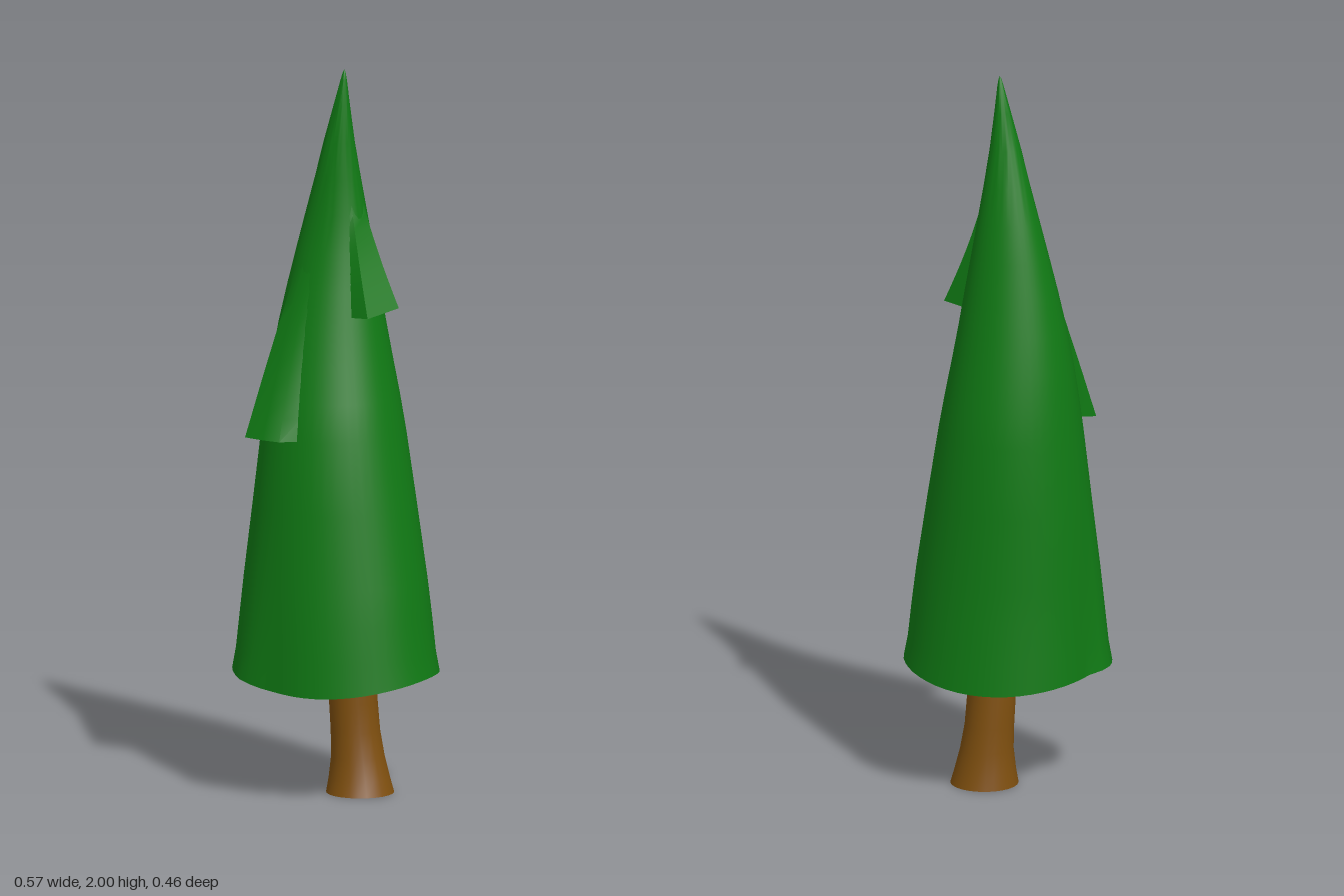
import * as THREE from 'three';
import { toCreasedNormals } from 'three/addons/utils/BufferGeometryUtils.js';

const leafGreen = new THREE.MeshStandardMaterial({ color: 0x107a14, side: THREE.DoubleSide });
const barkBrown = new THREE.MeshStandardMaterial({ color: 0x80500f, side: THREE.DoubleSide });

// Outline of the foliage: y, xMin, xMax, zMin, zMax
const FOLIAGE = [
  [0.305, -0.25, 0.285, -0.23, 0.23],
  [0.4, -0.247, 0.274, -0.225, 0.225],
  [0.5, -0.244, 0.263, -0.219, 0.218],
  [0.6, -0.241, 0.25, -0.215, 0.21],
  [0.8, -0.232, 0.218, -0.211, 0.19],
  [1.0, -0.21, 0.185, -0.205, 0.172],
  [1.1, -0.199, 0.166, -0.194, 0.149],
  [1.2, -0.185, 0.146, -0.177, 0.125],
  [1.3, -0.167, 0.127, -0.159, 0.101],
  [1.4, -0.145, 0.11, -0.139, 0.077],
  [1.5, -0.121, 0.092, -0.12, 0.053],
  [1.6, -0.095, 0.075, -0.1, 0.035],
  [1.7, -0.067, 0.059, -0.078, 0.025],
  [1.8, -0.04, 0.045, -0.055, 0.018],
  [1.9, -0.011, 0.034, -0.034, 0.008],
  [1.97, 0.009, 0.027, -0.018, -0.002],
  [1.99, 0.015, 0.024, -0.013, -0.006],
  [2.0, 0.02, 0.02, -0.01, -0.01],
];

// Trunk outline, same layout
const TRUNK = [
  [0, -0.035, 0.15, -0.125, 0.06],
  [0.04, -0.029, 0.138, -0.118, 0.048],
  [0.1, -0.023, 0.122, -0.11, 0.036],
  [0.17, -0.025, 0.109, -0.107, 0.031],
  [0.25, -0.029, 0.103, -0.102, 0.031],
  [0.35, -0.03, 0.102, -0.1, 0.033],
  [0.5, -0.03, 0.09, -0.09, 0.035],
];

const lerp = THREE.MathUtils.lerp;

// Point on an outline at height y and angle in degrees (0 = +x, 90 = +z)
function surfacePoint(rows, y, degrees, scale = 1) {
  let i = 0;
  while (i < rows.length - 2 && rows[i + 1][0] < y) i++;
  const a = rows[i], b = rows[i + 1];
  const t = (y - a[0]) / (b[0] - a[0]);
  const [x0, x1, z0, z1] = [1, 2, 3, 4].map((k) => lerp(a[k], b[k], t));
  const r = THREE.MathUtils.degToRad(degrees);
  return new THREE.Vector3(
    (x0 + x1) / 2 + ((x1 - x0) / 2) * scale * Math.cos(r), y,
    (z0 + z1) / 2 + ((z1 - z0) / 2) * scale * Math.sin(r));
}

// Skin rings of equal length, bottom to top
function loft(rings, closed, capBottom) {
  const n = rings[0].length;
  const points = rings.flat();
  const index = [];
  for (let j = 0; j < rings.length - 1; j++) {
    for (let i = 0; i < (closed ? n : n - 1); i++) {
      const a = j * n + i, b = j * n + ((i + 1) % n), c = a + n, d = b + n;
      index.push(a, c, b, b, c, d);
    }
  }
  if (capBottom) for (let i = 1; i < n - 1; i++) index.push(0, i, i + 1);
  const geometry = new THREE.BufferGeometry().setFromPoints(points);
  geometry.setIndex(index);
  return toCreasedNormals(geometry, Math.PI / 4.5);
}

// Strength of the low bulge around the hem, by angle
function bulge(degrees) {
  if (degrees < 118 || degrees > 194) return 0;
  return Math.min(1, (degrees - 118) / 24, (194 - degrees) / 9);
}

function foliageGeometry() {
  const sides = 48;
  const rings = FOLIAGE.map(([y]) => Array.from({ length: sides }, (_, i) => {
    const angle = (i * 360) / sides;
    const fade = Math.max(0, 1 - (y - 0.305) / 0.5);
    const p = surfacePoint(FOLIAGE, y, angle, 1 + 0.13 * bulge(angle) * fade);
    // the hem rises toward both sides
    if (y < 0.35) p.y += 0.04 * Math.pow(Math.abs(p.x) / 0.285, 2);
    return p;
  }));
  return loft(rings, true, false);
}

// Overhanging fold that swells out of the foliage toward its lower edge
// corners: [angle, scale at the lower edge, height offset]
function foldGeometry(bottom, top, corners) {
  const steps = 8;
  const rings = [];
  for (let j = 0; j <= steps; j++) {
    const t = 1 - j / steps;
    rings.push(corners.map(([angle, scale, lift]) => {
      const p = surfacePoint(FOLIAGE, lerp(top, bottom, t), angle, lerp(0.985, scale, t));
      p.y += lift * t;
      return p;
    }));
  }
  return loft(rings, false, true);
}

function trunkGeometry() {
  const rings = TRUNK.map(([y]) =>
    Array.from({ length: 24 }, (_, i) => surfacePoint(TRUNK, y, i * 15)));
  return loft(rings, true, true);
}

export function createModel() {
  const tree = new THREE.Group();
  tree.name = 'pineTree';
  const add = (name, geometry, material) => {
    const mesh = new THREE.Mesh(geometry, material);
    mesh.name = name;
    tree.add(mesh);
  };
  add('trunk', trunkGeometry(), barkBrown);
  add('foliage', foliageGeometry(), leafGreen);
  add('lowerFold', foldGeometry(1.0, 1.48, [
    [101, 0.97, 0], [111.7, 1.18, 0], [124, 1.25, 0], [137, 1.35, 0], [149, 0.98, 0.02],
  ]), leafGreen);
  add('upperFold', foldGeometry(1.335, 1.64, [
    [4, 0.85, 0], [6.8, 1.4, 0.015], [44, 1.37, 0], [56, 0.92, -0.005],
  ]), leafGreen);
  return tree;
}
